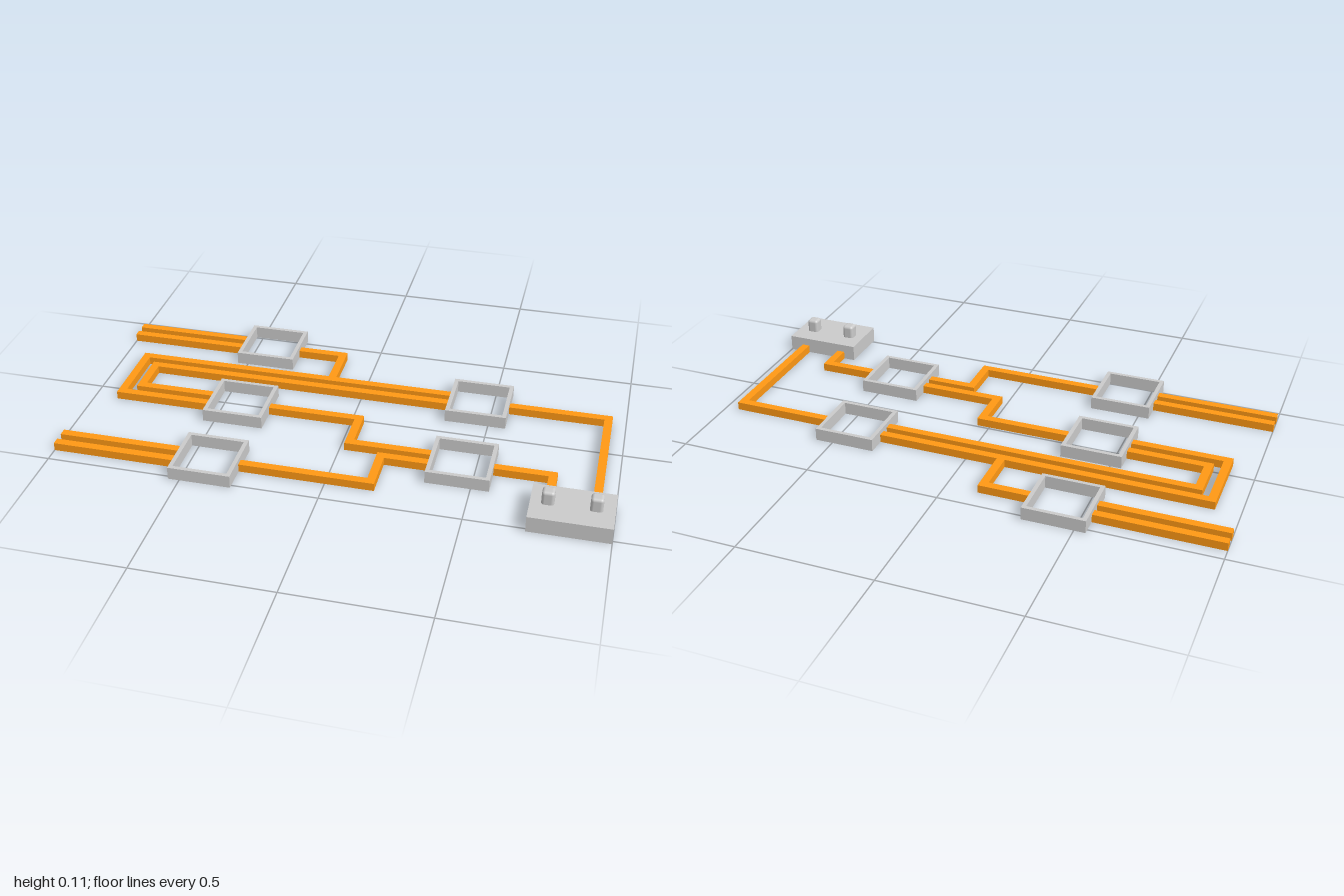
import * as THREE from 'three';
import { RoundedBoxGeometry } from 'three/addons/geometries/RoundedBoxGeometry.js';

const WIRE = 0.03, FRAME = 0.228, WALL = 0.015, FRAME_H = 0.047;

// Extrude a plan outline (x, -z) upwards from y = 0
function extrudeUp(shape, height) {
  const geo = new THREE.ExtrudeGeometry(shape, { depth: height, bevelEnabled: false });
  return geo.rotateX(-Math.PI / 2);
}

// Square-section strip along a right-angled path of [x, z] points, with mitred corners
function wireGeometry(path) {
  const pts = path.map(([x, z]) => new THREE.Vector2(x, -z));
  const normals = pts.slice(1).map((p, i) => {
    const d = p.clone().sub(pts[i]).normalize();
    return new THREE.Vector2(-d.y, d.x);
  });
  const side = (s) => pts.map((p, i) => {
    const n = new THREE.Vector2();
    if (i > 0) n.add(normals[i - 1]);
    if (i < normals.length) n.add(normals[i]);
    return p.clone().addScaledVector(n, s * WIRE / 2);
  });
  return extrudeUp(new THREE.Shape([...side(-1), ...side(1).reverse()]), WIRE);
}

function squarePoints(half) {
  return [[-1, -1], [1, -1], [1, 1], [-1, 1]].map(([x, y]) => new THREE.Vector2(x * half, y * half));
}

export function createModel() {
  const model = new THREE.Group();
  model.name = 'circuit';
  const grey = new THREE.MeshStandardMaterial({ color: 0xcccccc });
  const orange = new THREE.MeshStandardMaterial({ color: 0xff9914 });
  const add = (name, geo, mat, x = 0, y = 0, z = 0) => {
    const mesh = new THREE.Mesh(geo, mat);
    mesh.name = name;
    mesh.position.set(x, y, z);
    model.add(mesh);
  };

  // Open square gate frames
  const outline = new THREE.Shape(squarePoints(FRAME / 2));
  outline.holes.push(new THREE.Path(squarePoints(FRAME / 2 - WALL).reverse()));
  const frameGeo = extrudeUp(outline, FRAME_H);
  const frames = [[-0.427, -0.406], [-0.427, 0.022], [-0.427, 0.4], [0.451, -0.188], [0.451, 0.212]];
  frames.forEach(([x, z], i) => add(`gateFrame${i + 1}`, frameGeo, grey, x, 0, z));

  // Wires between the frames; L and R are the frame faces they meet
  const inL = -0.541, outL = -0.313, inR = 0.337, outR = 0.565;
  const wires = {
    inputWire1: [[-1, -0.437], [inL, -0.437]],
    inputWire2: [[-1, -0.377], [inL, -0.377]],
    inputWire3: [[-1, 0.37], [inL, 0.37]],
    inputWire4: [[-1, 0.43], [inL, 0.43]],
    branchWire: [[outL, -0.405], [-0.135, -0.405], [-0.135, -0.232]],
    outerLoopWire: [[inR, -0.217], [-0.895, -0.217], [-0.895, 0.053], [inL, 0.053]],
    innerLoopWire: [[inR, -0.16], [-0.837, -0.16], [-0.837, -0.006], [inL, -0.006]],
    middleWire: [[outL, 0.024], [0.033, 0.024], [0.033, 0.183], [inR, 0.183]],
    frontWire: [[outL, 0.4], [0.162, 0.4], [0.162, 0.24], [inR, 0.24]],
    longOutputWire: [[outR, -0.19], [0.934, -0.19], [0.934, 0.322]],
    shortOutputWire: [[outR, 0.213], [0.773, 0.213], [0.773, 0.322]],
  };
  for (const [name, path] of Object.entries(wires)) add(name, wireGeometry(path), orange);

  // Output block with two rounded pegs
  add('outputBlock', new THREE.BoxGeometry(0.286, 0.06, 0.193), grey, 0.857, 0.03, 0.418);
  const pegGeo = new RoundedBoxGeometry(0.044, 0.07, 0.044, 3, 0.011);
  [0.774, 0.936].forEach((x, i) => add(`peg${i + 1}`, pegGeo, grey, x, 0.075, 0.412));

  return model;
}
